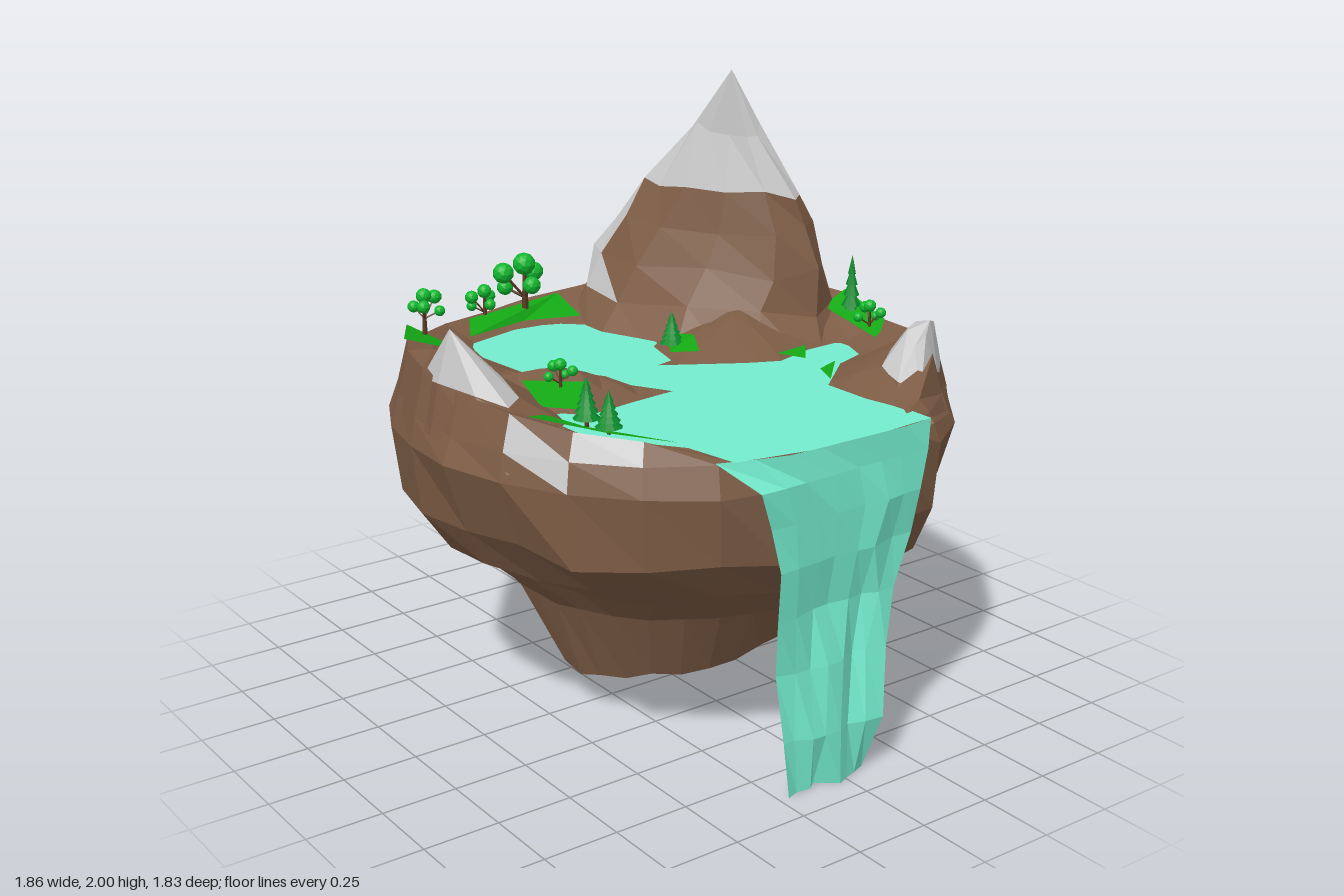
import * as THREE from 'three';

const material = (color, extra = {}) => new THREE.MeshStandardMaterial({ color, flatShading: true, ...extra });
const MATS = {
  rock: material(0x7d5c45),
  snow: material(0xcccccc),
  grass: material(0x14a814, { side: THREE.DoubleSide }),
  water: material(0x74ecce, { side: THREE.DoubleSide }),
  leaf: material(0x10b82e),
  pine: material(0x0a8a2c),
  trunk: material(0x5a3a22),
};

// Lake shoreline with the stream at the back, as [x, z]
const LAKE = [
  [-0.68, -0.1], [-0.31, -0.17], [-0.27, -0.12], [-0.1, -0.07], [-0.08, 0.0], [-0.02, -0.1], [0.07, -0.25],
  [0.12, -0.36], [0.07, -0.52], [0.06, -0.66], [0.14, -0.72], [0.2, -0.66], [0.26, -0.5], [0.42, -0.31],
  [0.6, -0.31], [0.76, -0.34], [0.86, -0.34], [0.875, -0.15], [0.875, 0.15], [0.83, 0.39], [0.65, 0.42],
  [0.5, 0.53], [0.38, 0.6], [0.08, 0.61], [0.23, 0.48], [0.2, 0.3], [0.18, 0.13], [0.05, 0.2],
  [-0.08, 0.21], [-0.18, 0.27], [-0.23, 0.4], [-0.5, 0.42], [-0.66, 0.38], [-0.75, 0.1],
];
const LAKE_Y = 1.09;

// Grass patches, as [x, z]
const PATCHES = [
  [[-0.84, -0.1], [-0.69, -0.1], [-0.75, 0.1], [-0.68, 0.36], [-0.79, 0.3]],
  [[-0.67, 0.61], [-0.4, 0.55], [-0.41, 0.76]],
  [[-0.03, 0.56], [0.1, 0.39], [0.23, 0.5], [0.13, 0.59]],
  [[0.2, 0.62], [0.45, 0.57], [0.65, 0.45], [0.58, 0.64], [0.36, 0.78]],
  [[-0.31, -0.21], [-0.15, -0.2], [-0.05, -0.15], [-0.12, -0.08]],
  [[-0.12, -0.85], [0.1, -0.84], [0.18, -0.74], [-0.1, -0.73]],
  [[0.08, -0.5], [0.2, -0.4], [0.1, -0.36]],
  [[0.28, -0.46], [0.43, -0.31], [0.32, -0.36]],
];

// Repeatable noise in -1..1
const noise = (i, j) => {
  const s = Math.sin(i * 127.1 + j * 311.7) * 43758.5453;
  return (s - Math.floor(s)) * 2 - 1;
};

// Distance to the shore, negative inside the lake
function shoreDistance(x, z) {
  let best = Infinity, inside = false;
  LAKE.forEach(([ax, az], i) => {
    const [bx, bz] = LAKE[(i + 1) % LAKE.length];
    const dx = bx - ax, dz = bz - az;
    const t = THREE.MathUtils.clamp(((x - ax) * dx + (z - az) * dz) / (dx * dx + dz * dz), 0, 1);
    best = Math.min(best, Math.hypot(x - ax - t * dx, z - az - t * dz));
    if ((az > z) !== (bz > z) && x < ax + ((z - az) / dz) * dx) inside = !inside;
  });
  return inside ? -best : best;
}
const ground = (x, z) => LAKE_Y - 0.005 + THREE.MathUtils.clamp(shoreDistance(x, z) * 0.45, -0.04, 0.135);

// Faceted skin over rows of points; pick(centroid) chooses each face's material
function skin(name, rows, pick, closed = true) {
  const faces = {};
  const add = (a, b, c) => {
    if (a.equals(b) || b.equals(c) || a.equals(c)) return;
    const key = pick(new THREE.Vector3().add(a).add(b).add(c).divideScalar(3));
    (faces[key] ??= []).push(a, b, c);
  };
  for (let i = 0; i < rows.length - 1; i++) {
    const n = rows[i].length;
    for (let j = 0; j < (closed ? n : n - 1); j++) {
      const k = (j + 1) % n;
      add(rows[i][j], rows[i + 1][j], rows[i + 1][k]);
      add(rows[i][j], rows[i + 1][k], rows[i][k]);
    }
  }
  const group = new THREE.Group();
  group.name = name;
  for (const key in faces) {
    const geo = new THREE.BufferGeometry().setFromPoints(faces[key]);
    geo.computeVertexNormals();
    const mesh = new THREE.Mesh(geo, MATS[key]);
    mesh.name = `${name} ${key}`;
    group.add(mesh);
  }
  return group;
}

// Closed ring [y, centre x, centre z, radius x, radius z, shear, extra bulk on the back diagonals]
function ring([y, cx, cz, rx, rz, shear = 0, bulk = 0], count, rough, seed, limit) {
  return Array.from({ length: count }, (_, j) => {
    const a = (j / count) * Math.PI * 2;
    const r = 1 + noise(seed, j) * rough + bulk * Math.max(0, -Math.sin(a)) * Math.abs(Math.cos(a)) * 2;
    const dx = Math.cos(a) * rx * r, dz = Math.sin(a) * rz * r + dx * shear;
    const p = new THREE.Vector3(cx + dx, y + (rx ? noise(j, seed + 9) * rough * 0.5 : 0), cz + dz);
    const fit = Math.min(1, limit / Math.hypot(p.x, p.z));
    return p.set(Math.min(p.x * fit, 0.862), p.y, p.z * fit);
  });
}

// Island: rounded underside, rim, then terrain rings running in to the centre
function island() {
  const N = 26;
  const rows = [
    [0.13, -0.04, -0.05, 0, 0], [0.1, -0.04, -0.04, 0.21, 0.25], [0.2, -0.01, 0, 0.35, 0.4, 0, 0.12],
    [0.41, -0.02, 0.02, 0.47, 0.48, 0, 0.3], [0.53, -0.04, -0.05, 0.67, 0.68, 0, 0.12], [0.61, -0.03, -0.03, 0.8, 0.78, 0, 0.04],
    [0.75, -0.01, 0, 0.9, 0.87],
  ].map((r, i) => ring(r, N, 0.04, i, 0.93));
  // the bottom tips down towards the front
  rows.slice(0, 3).flat().forEach((p) => { p.y -= p.z * 0.14; });
  rows.push(ring([0.98, -0.01, 0, 0.93, 0.92], N, 0.01, 7, 0.935));
  const rim = ring([1.07, -0.015, 0, 0.9, 0.885], N, 0.012, 8, 0.93);
  rows.push(rim);
  for (let i = 0; i <= 11; i++) {
    const f = 0.96 * (1 - i / 11);
    rows.push(rim.map((p) => new THREE.Vector3(p.x * f, ground(p.x * f, p.z * f), p.z * f)));
  }
  return skin('island', rows, (c) =>
    c.z > 0.6 && c.y > 1.0 && Math.abs(c.x - 0.45) < (c.y - 0.95) * 0.9 && c.y < 1.12 ? 'snow' : 'rock');
}

const mountain = (name, sides, contours, isSnow) =>
  skin(name, contours.map((c, i) => ring(c, sides, 0.06, i + 20, 0.905)), (c) => (isSnow(c) ? 'snow' : 'rock'));

// Flat area from [x, z] corners, laid at height(x, z)
function area(name, corners, mat, height) {
  const geo = new THREE.ShapeGeometry(new THREE.Shape(corners.map(([x, z]) => new THREE.Vector2(x, -z))));
  geo.rotateX(-Math.PI / 2);
  const pos = geo.attributes.position;
  for (let i = 0; i < pos.count; i++) pos.setY(i, height(pos.getX(i), pos.getZ(i)));
  geo.computeVertexNormals();
  const mesh = new THREE.Mesh(geo, mat);
  mesh.name = name;
  return mesh;
}

// Rippled sheet falling over the right edge: [y, x, front z, back z]
function waterfall() {
  const rows = [
    [1.09, 0.874, 0.44, -0.34], [1.0, 0.885, 0.35, -0.31], [0.88, 0.885, 0.29, -0.3], [0.74, 0.88, 0.27, -0.26],
    [0.58, 0.872, 0.26, -0.21], [0.4, 0.88, 0.25, -0.15], [0.18, 0.9, 0.24, -0.12], [0, 0.89, 0.23, -0.1],
  ].map(([y, x, z0, z1], i) => Array.from({ length: 8 }, (_, j) => {
    const edge = i === 0 ? [-0.07, -0.03, 0, 0, 0, 0, 0, -0.015][j] : noise(i, j + 50) * (0.008 + i * 0.003);
    const sway = i ? noise(j, i + 70) * 0.015 : 0;
    return new THREE.Vector3(x + edge, y, z0 + (z1 - z0) * (j / 7) + sway);
  }));
  return skin('waterfall', rows, () => 'water', false);
}

function part(name, geo, mat, x, y, z) {
  const mesh = new THREE.Mesh(geo, mat);
  mesh.name = name;
  mesh.position.set(x, y, z);
  return mesh;
}

// Leafy tree: trunk, branches and round leaf clumps
function leafyTree(x, y, z, h) {
  const tree = new THREE.Group();
  tree.name = 'leafy tree';
  tree.position.set(x, y, z);
  tree.add(part('trunk', new THREE.CylinderGeometry(h * 0.03, h * 0.06, h * 0.8, 5), MATS.trunk, 0, h * 0.4, 0));
  for (let i = 0; i < 5; i++) {
    const a = i * 2.4 + x * 9, r = i ? h * 0.36 : 0;
    const tip = new THREE.Vector3(Math.cos(a) * r * 0.7, h * (0.86 - i * 0.09), Math.sin(a) * r);
    const path = new THREE.LineCurve3(new THREE.Vector3(0, h * 0.35, 0), tip);
    tree.add(part('branch', new THREE.TubeGeometry(path, 1, h * 0.02, 4), MATS.trunk, 0, 0, 0));
    tree.add(part('leaves', new THREE.IcosahedronGeometry(h * (0.17 - i * 0.012), 1), MATS.leaf, tip.x, tip.y, tip.z));
  }
  return tree;
}

// Pine: trunk and stacked cones
function pineTree(x, y, z, h) {
  const tree = new THREE.Group();
  tree.name = 'pine tree';
  tree.position.set(x, y, z);
  tree.add(part('trunk', new THREE.CylinderGeometry(h * 0.04, h * 0.05, h * 0.3, 5), MATS.trunk, 0, h * 0.15, 0));
  for (let i = 0; i < 5; i++)
    tree.add(part('needles', new THREE.ConeGeometry(0.042 - i * 0.007, h * 0.26, 9), MATS.pine, 0, h * (0.3 + i * 0.145), 0));
  return tree;
}

export function createModel() {
  const model = new THREE.Group();
  model.name = 'floating island';
  model.add(island(), waterfall(), area('lake', LAKE, MATS.water, () => LAKE_Y));
  PATCHES.forEach((p) => model.add(area('grass patch', p, MATS.grass, (x, z) => Math.max(ground(x, z), 1.1) + 0.012)));

  model.add(
    mountain('main peak', 11, [
      [0.98, -0.43, -0.42, 0.57, 0.38, -0.2], [1.19, -0.48, -0.5, 0.46, 0.31, -0.32], [1.32, -0.46, -0.49, 0.42, 0.23, -0.42],
      [1.45, -0.43, -0.5, 0.34, 0.17, -0.45], [1.59, -0.39, -0.5, 0.25, 0.12, -0.45],
      [1.8, -0.36, -0.49, 0.125, 0.045, -0.35], [2, -0.3, -0.47, 0, 0],
    ], (c) => c.y > 1.6 || (c.x < -0.66 && c.z > -0.4 && c.y > 1.22)),
    mountain('front peak', 8, [
      [1.03, 0, 0.68, 0.48, 0.27], [1.19, 0, 0.755, 0.22, 0.11], [1.37, 0.01, 0.83, 0, 0],
    ], (c) => c.y > 1.2),
    mountain('back peak', 8, [
      [1.03, 0.53, -0.56, 0.32, 0.23, 0.4], [1.13, 0.51, -0.585, 0.18, 0.13, 0.7],
      [1.25, 0.53, -0.6, 0.09, 0.06, 0.7], [1.29, 0.57, -0.6, 0, 0],
    ], (c) => c.y > 1.14),
  );

  // Trees: [x, y, z, height]
  [[-0.79, 1.1, 0.07, 0.24], [-0.8, 1.1, 0.23, 0.15], [-0.49, 1.21, 0.64, 0.15], [0.07, 1.11, 0.48, 0.12], [0.1, 1.1, -0.77, 0.13]]
    .forEach((t) => model.add(leafyTree(...t)));
  [[-0.18, 1.1, -0.13, 0.13], [0.44, 1.14, 0.63, 0.15], [0.51, 1.13, 0.6, 0.13], [-0.03, 1.1, -0.8, 0.26]]
    .forEach((t) => model.add(pineTree(...t)));
  return model;
}
